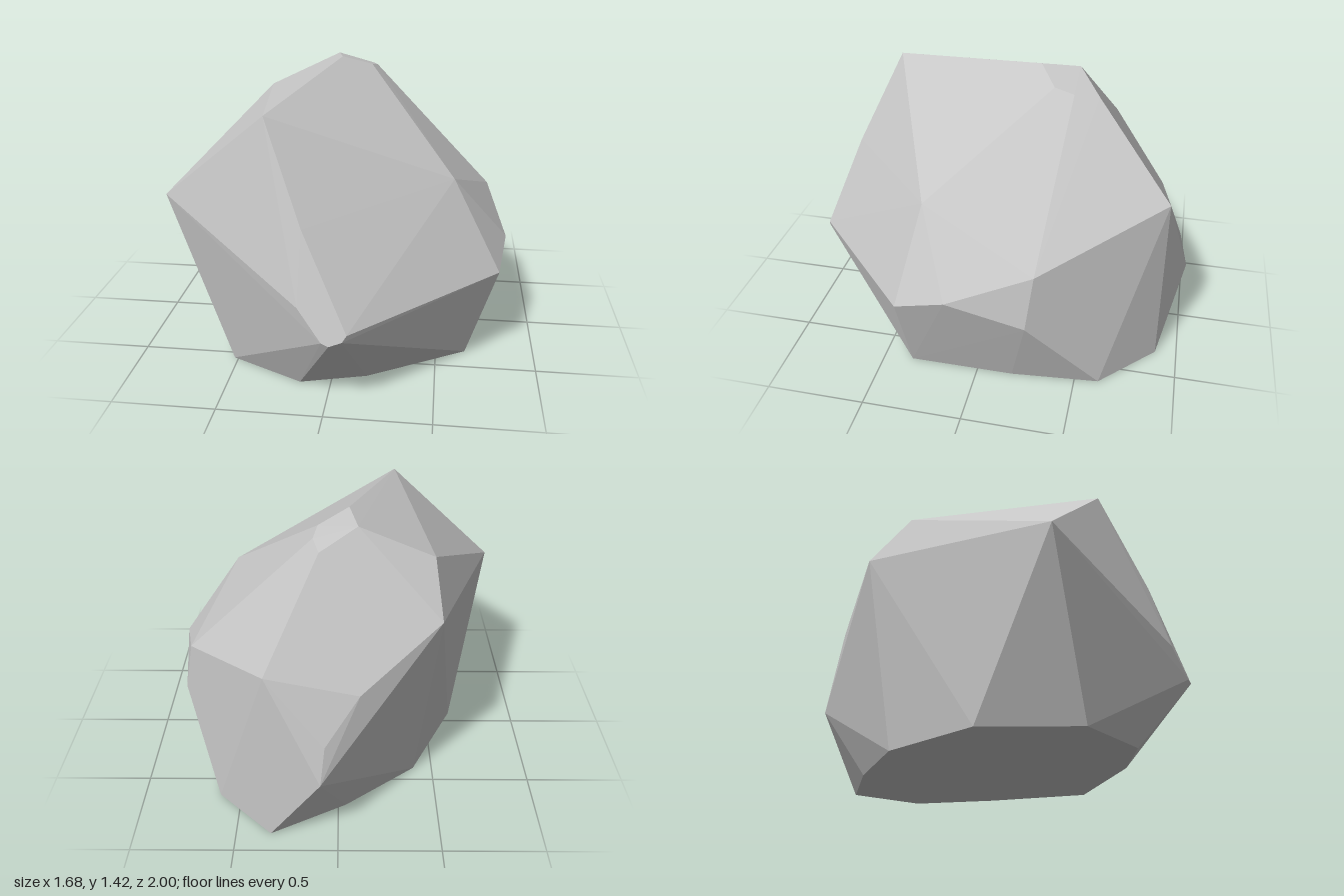
import * as THREE from 'three';
import { ConvexGeometry } from 'three/addons/geometries/ConvexGeometry.js';

export function createModel() {
  const group = new THREE.Group();
  group.name = 'rock';
  const stone = new THREE.MeshStandardMaterial({ color: 0xc6c6c6, flatShading: true });
  stone.name = 'pale grey stone';

  // Outline resting on the ground, as [x, z]
  const base = [
    [0.33, -0.89], [-0.04, -0.69], [-0.4, -0.41], [-0.64, 0.07], [-0.52, 0.55],
    [-0.15, 0.73], [0.17, 0.64], [0.65, 0.35], [0.65, -0.18], [0.61, -0.62],
  ].map(([x, z]) => [x, 0, z]);

  // Small chipped facet at the summit
  const summit = [
    [-0.05, 1.425, -0.18], [0.1, 1.37, -0.27], [0.12, 1.35, -0.37],
    [0.09, 1.335, -0.49], [-0.09, 1.41, -0.37],
  ];

  // Front ridge, running from the high shoulder down to the blunt nose
  const ridge = [
    [-0.31, 1.305, 0.635], [-0.11, 0.85, 0.84], [0.11, 0.42, 0.99], [0.09, 0.39, 1.0],
    [0.03, 0.365, 1.0], [-0.005, 0.375, 0.99], [-0.12, 0.51, 0.93],
  ];

  // Corners of the two flanks and the back
  const flanks = [
    [-0.84, 0.855, 0.48], [-0.46, 1.235, -0.33], [-0.49, 1.0, -0.54],
    [0.56, 0.92, 0.28], [0.8, 0.47, 0.37], [0.84, 0.56, 0.11],
    [0.8, 0.44, -0.27], [0.75, 0.71, -0.3],
  ];
  const back = [
    [0.33, 0.92, -0.88], [0.08, 0.41, -1.0], [0.06, 0.59, -0.95], [-0.1, 0.79, -0.83],
  ];

  // The boulder is the convex skin around these corners
  const corners = [...base, ...summit, ...ridge, ...flanks, ...back]
    .map((p) => new THREE.Vector3(...p));
  const boulder = new THREE.Mesh(new ConvexGeometry(corners), stone);
  boulder.name = 'boulder';
  group.add(boulder);
  return group;
}
